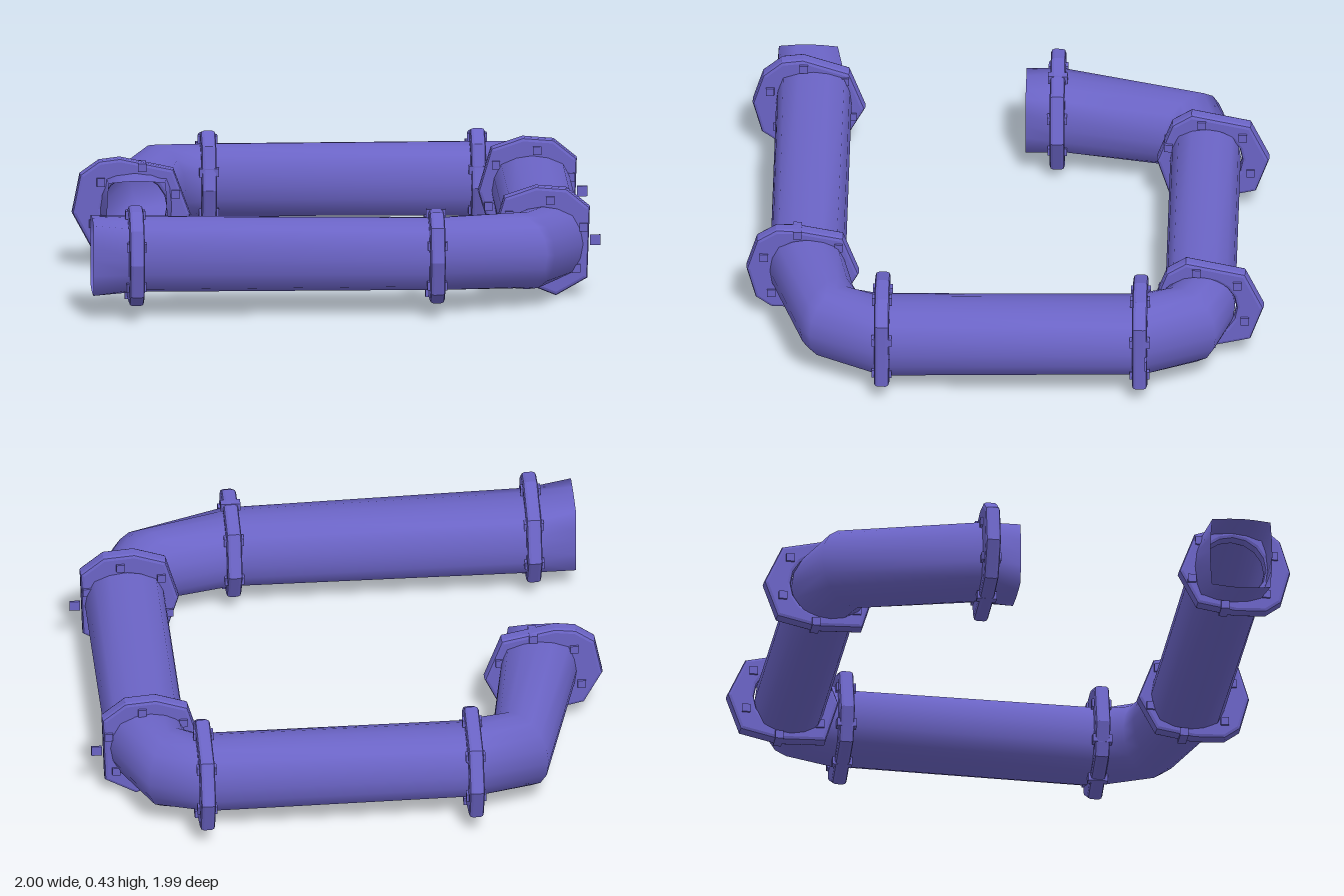
import * as THREE from 'three';

const paint = new THREE.MeshStandardMaterial({ color: 0x6b64c6, side: THREE.DoubleSide });
paint.name = 'violet paint';

const SIDES = 16;

// Open tube through stations [innerX, innerZ, outerX, outerZ, bottom, top, squareness]
function pipe(name, stations) {
  const pos = [], idx = [];
  stations.forEach(([ix, iz, ox, oz, y0, y1, sq = 0], i) => {
    for (let j = 0; j < SIDES; j++) {
      const a = (j / SIDES) * Math.PI * 2, c = Math.cos(a), s = Math.sin(a);
      const k = 1 + sq * (1 / Math.max(Math.abs(c), Math.abs(s)) - 1);
      pos.push(
        (ix + ox) / 2 + ((ox - ix) / 2) * c * k,
        (y0 + y1) / 2 + ((y1 - y0) / 2) * s * k,
        (iz + oz) / 2 + ((oz - iz) / 2) * c * k
      );
      if (i === 0) continue;
      const n = (j + 1) % SIDES, p = (i - 1) * SIDES, q = i * SIDES;
      idx.push(p + j, q + j, p + n, q + j, q + n, p + n);
    }
  });
  const geo = new THREE.BufferGeometry();
  geo.setAttribute('position', new THREE.Float32BufferAttribute(pos, 3));
  geo.setIndex(idx);
  geo.computeVertexNormals();
  const mesh = new THREE.Mesh(geo, paint);
  mesh.name = name;
  return mesh;
}

// Irregular bolted collar; outline is [across, y], standing at a point on its axis
function flange(name, axis, at, outline, hole) {
  const group = new THREE.Group();
  group.name = name;
  const [hu, hy, hr] = hole, bevel = 0.014;
  const shrink = outline.map(([u, y]) => new THREE.Vector2(
    hu + (u - hu) * 0.935, hy + (y - hy) * 0.935));
  const shape = new THREE.Shape(shrink);
  shape.holes.push(new THREE.Path().absarc(hu, hy, hr, 0, Math.PI * 2, true));
  const geo = new THREE.ExtrudeGeometry(shape, {
    depth: 0.03, bevelSize: bevel, bevelThickness: bevel, bevelSegments: 2, curveSegments: 8 });
  geo.translate(0, 0, -0.015);
  const ring = new THREE.Mesh(geo, paint);
  ring.name = 'collar';
  group.add(ring);
  // Bolt heads
  for (let i = 0; i < 6; i++) {
    const a = 0.35 + (i / 6) * Math.PI * 2;
    const bolt = new THREE.Mesh(new THREE.BoxGeometry(0.032, 0.032, 0.076), paint);
    bolt.name = 'bolt';
    bolt.position.set(hu + Math.cos(a) * 0.168, hy + Math.sin(a) * 0.163, 0);
    group.add(bolt);
  }
  if (axis === 'x') {
    group.rotation.y = -Math.PI / 2;
    group.position.x = at;
  } else group.position.z = at;
  return group;
}

export function createModel() {
  const model = new THREE.Group();

  // Straight runs and bends, in order along the line
  model.add(
    pipe('frontPipe', [
      [-0.97, 0.66, -0.97, 0.90, 0.09, 0.38, 0.8],
      [-0.80, 0.61, -0.80, 0.90, 0.09, 0.38, 0.35],
      [0.35, 0.61, 0.35, 0.90, 0.085, 0.365, 0.2]]),
    pipe('frontBend', [
      [0.35, 0.61, 0.38, 0.90, 0.085, 0.365, 0.2],
      [0.54, 0.57, 0.78, 0.775, 0.07, 0.365],
      [0.61, 0.54, 0.81, 0.74, 0.06, 0.36],
      [0.63, 0.46, 0.94, 0.47, 0.06, 0.35, 0.15]]),
    pipe('sidePipe', [
      [0.63, 0.46, 0.94, 0.46, 0.06, 0.35, 0.2],
      [0.63, -0.53, 0.94, -0.53, 0.08, 0.36, 0.2]]),
    pipe('backBend', [
      [0.63, -0.53, 0.94, -0.53, 0.07, 0.37, 0.15],
      [0.63, -0.58, 0.80, -0.82, 0.06, 0.38],
      [0.59, -0.62, 0.59, -0.89, 0.08, 0.37, 0.15]]),
    pipe('backPipe', [
      [0.59, -0.62, 0.59, -0.89, 0.08, 0.37, 0.2],
      [-0.45, -0.62, -0.45, -0.89, 0.09, 0.37, 0.2]]),
    pipe('endBend', [
      [-0.45, -0.61, -0.45, -0.89, 0.09, 0.37, 0.2],
      [-0.54, -0.59, -0.74, -0.81, 0.07, 0.38],
      [-0.60, -0.22, -0.90, -0.20, 0.09, 0.38, 0.3],
      [-0.64, -0.06, -0.87, -0.06, 0.10, 0.36, 0.8]])
  );

  // Collar outlines
  const frontRim = [[0.56, 0.21], [0.63, 0.08], [0.78, 0.055], [0.90, 0.06], [0.955, 0.10],
    [0.99, 0.23], [0.95, 0.36], [0.88, 0.42], [0.80, 0.43], [0.62, 0.37]];
  const sideRim = [[0.58, 0.22], [0.62, 0.09], [0.83, 0.005], [0.945, 0.07], [0.955, 0.35],
    [0.87, 0.42], [0.75, 0.43], [0.63, 0.39]];
  const backRim = [[-1, 0.23], [-0.95, 0.09], [-0.80, 0.055], [-0.62, 0.06], [-0.57, 0.22],
    [-0.63, 0.385], [-0.70, 0.43], [-0.93, 0.38]];
  const endRim = [[-1, 0.22], [-0.93, 0.09], [-0.80, 0.06], [-0.62, 0.05], [-0.545, 0.21],
    [-0.61, 0.385], [-0.82, 0.43], [-0.90, 0.42], [-0.97, 0.37]];

  model.add(
    flange('frontEndFlange', 'x', -0.805, frontRim, [0.765, 0.235, 0.14]),
    flange('frontBendFlange', 'x', 0.35, frontRim.map(([u, y]) => [u, Math.min(y, 0.405)]), [0.765, 0.23, 0.14]),
    flange('sideFrontFlange', 'z', 0.46, sideRim, [0.775, 0.215, 0.14]),
    flange('sideBackFlange', 'z', -0.53, sideRim, [0.775, 0.22, 0.14]),
    flange('backRightFlange', 'x', 0.585, backRim, [-0.77, 0.23, 0.14]),
    flange('backLeftFlange', 'x', -0.45, backRim, [-0.77, 0.23, 0.14]),
    flange('endFlange', 'z', -0.182, endRim, [-0.76, 0.235, 0.14])
  );

  // Loose bolt tabs beside the side collars
  for (const z of [0.43, -0.555]) {
    const tab = new THREE.Mesh(new THREE.BoxGeometry(0.04, 0.04, 0.008), paint);
    tab.name = 'boltTab';
    tab.position.set(0.98, 0.21, z);
    model.add(tab);
  }
  return model;
}
